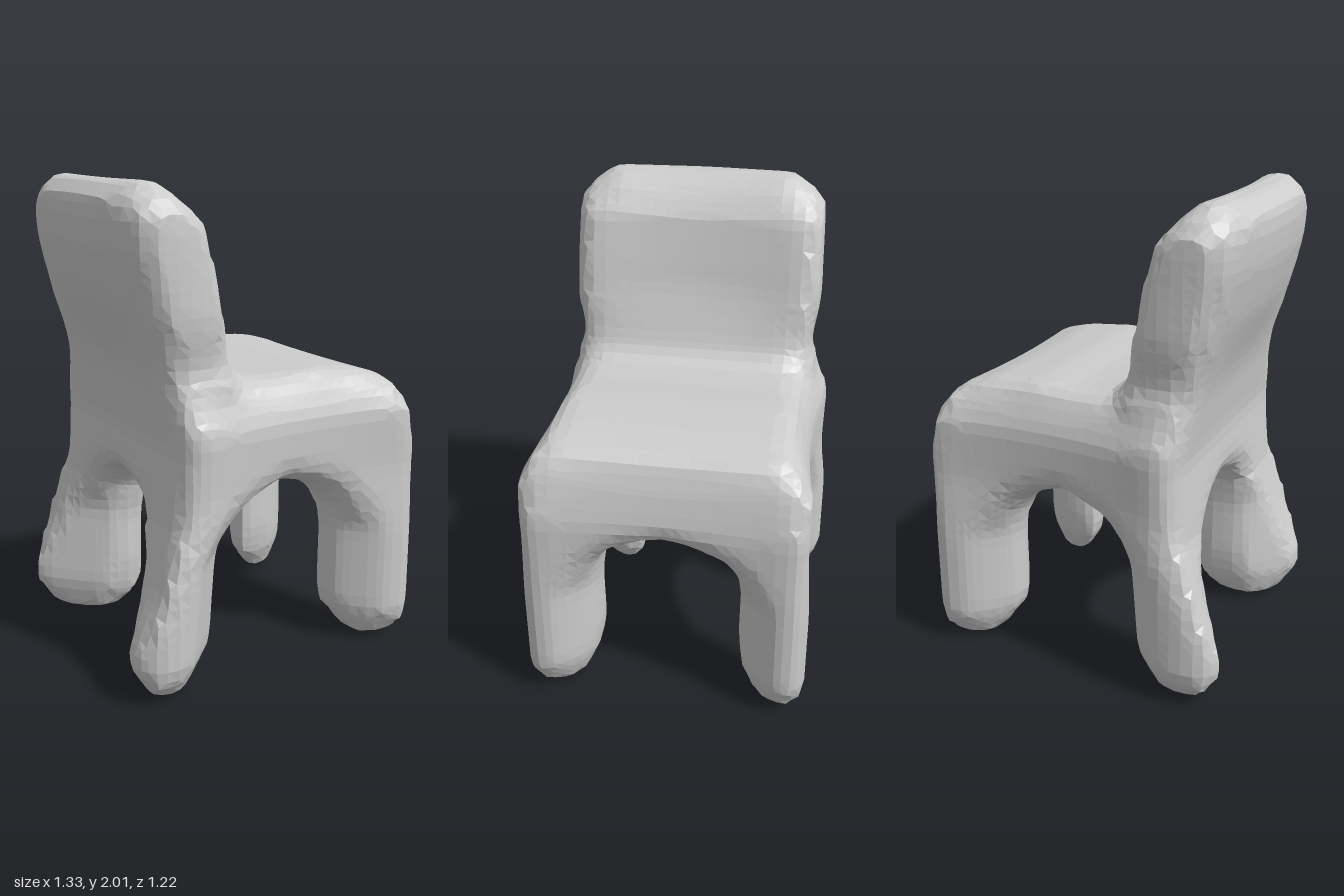
import * as THREE from 'three';

const { smoothstep } = THREE.MathUtils;

// Side outline [x, y]: backrest, seat, front and rear legs with the arch between
const SIDE = [
  [-0.44, -0.02], [-0.29, 0.05], [-0.25, 0.13], [-0.24, 0.5], [-0.21, 0.62], [-0.13, 0.71], [0, 0.76],
  [0.16, 0.76], [0.25, 0.71], [0.31, 0.63], [0.335, 0.52], [0.335, 0.17], [0.41, 0.05], [0.49, -0.02],
  [0.59, -0.02], [0.68, 0.15], [0.68, 0.9], [0.64, 1.06], [0.59, 1.17], [0.42, 1.22], [0.2, 1.24],
  [0, 1.23], [-0.17, 1.24], [-0.21, 1.34], [-0.26, 1.62], [-0.31, 1.84], [-0.4, 1.97], [-0.46, 2.03],
  [-0.55, 2.03], [-0.63, 1.92], [-0.62, 1.75], [-0.55, 1.46], [-0.5, 1.22], [-0.47, 1], [-0.5, 0.68],
  [-0.58, 0.42], [-0.69, 0.17], [-0.61, 0.04], [-0.53, -0.02],
];
// Half of the facing outline [z, y], carried past z = 0
const FACE = [
  [-0.4, 0.76], [0.1, 0.76], [0.19, 0.73], [0.26, 0.65], [0.285, 0.5], [0.28, 0.25], [0.3, 0.12],
  [0.35, 0.02], [0.41, -0.02], [0.51, -0.02], [0.61, 0.12], [0.61, 0.5], [0.59, 0.8], [0.6, 1.06],
  [0.55, 1.17], [0.51, 1.3], [0.54, 1.5], [0.53, 1.88], [0.43, 2.03], [-0.4, 2.03],
];

// Signed distance to a closed outline, negative inside
function outlineDistance(pts, x, y) {
  let best = Infinity, sign = 1;
  for (let i = 0, j = pts.length - 1; i < pts.length; j = i++) {
    const [ax, ay] = pts[i], [bx, by] = pts[j];
    const ex = bx - ax, ey = by - ay, wx = x - ax, wy = y - ay;
    const t = Math.min(1, Math.max(0, (wx * ex + wy * ey) / (ex * ex + ey * ey)));
    best = Math.min(best, Math.hypot(wx - ex * t, wy - ey * t));
    const c = [y >= ay, y < by, ex * wy > ey * wx];
    if (c.every(v => v) || !c.some(v => v)) sign = -sign;
  }
  return sign * best;
}

// Intersection with a rounded edge of width k
function blend(a, b, k) {
  const h = Math.max(k - Math.abs(a - b), 0) / k;
  return Math.max(a, b) + h * h * k / 4;
}

// Soft solid: both outlines crossed, with the legs thinned to diagonal fins
function solid(x, y, z) {
  const az = Math.abs(z), low = 1 - smoothstep(y, 1.15, 1.25);
  // sides and front edge of the seat bow inwards
  const bowZ = 1 + low * 0.09 * Math.max(0, 1 - ((x - 0.12) / 0.5) ** 2);
  const bowX = x > 0 ? 1 + 0.08 * Math.max(0, 1 - (z / 0.6) ** 2) : 1;
  // backrest is dished towards the rear
  const dish = 0.045 * smoothstep(y, 1.25, 1.6) * Math.max(0, 1 - (z / 0.5) ** 2);
  // rear legs reach further inwards than the front ones
  const inset = (0.07 * smoothstep(x, -0.25, 0.33) - 0.035) * (1 - smoothstep(az, 0.34, 0.52));
  const lip = smoothstep(y, 0.55, 0.75);
  const k = 0.04 + 0.08 * lip;
  const body = blend(outlineDistance(SIDE, x * bowX + dish, y),
    outlineDistance(FACE, az * bowZ - inset, y), k);
  if (y > 0.95) return body;
  // legs widen upwards into the rounded lip under the seat
  const offset = x > 0 ? 0.05 : 0.03 + 0.035 * Math.sign(z) - 0.1 * Math.min(y, 0.5);
  const across = Math.abs(Math.abs(x) - az - offset) * Math.SQRT1_2;
  const half = (x > 0 ? 0.11 : 0.13) + 0.55 * (Math.max(0, y - 0.5) / 0.45) ** 2
    - 0.05 * Math.max(0, 1 - y / 0.15);
  const leg = blend(body, across - half, 0.04 + 0.08 * lip);
  // outer leg corners are cut off, fading out at the seat
  const corner = (Math.abs(x) + az - 1.21) * Math.SQRT1_2 - 0.1 * smoothstep(y, 0.65, 0.95);
  return blend(leg, corner, 0.04);
}

// Which part a point of the skin belongs to
function partAt(x, y, z) {
  if (y > 1.22 && x < -0.15) return 'backrest';
  if (y > 0.68) return 'seat';
  return (x > 0 ? 'front' : 'rear') + (z > 0 ? 'Right' : 'Left') + 'Leg';
}

// Skins the solid on a coarse grid and sorts the faces into parts
function skinParts() {
  const step = 0.05, size = [33, 46, 30], origin = [-0.8, -0.115, -0.725];
  const index = (i, j, k) => (i * size[1] + j) * size[2] + k;
  const place = (i, a) => origin[a] + i * step;
  const value = new Float32Array(size[0] * size[1] * size[2]);
  for (let i = 0; i < size[0]; i++)
    for (let j = 0; j < size[1]; j++)
      for (let k = 0; k < size[2]; k++)
        value[index(i, j, k)] = solid(place(i, 0), place(j, 1), place(k, 2));
  const at = c => value[index(c[0], c[1], c[2])];

  // one skin point per crossed cell: the mean of its edge crossings
  const cache = new Map();
  function cellPoint(cell) {
    const key = index(...cell);
    if (cache.has(key)) return cache.get(key);
    const sum = new THREE.Vector3();
    let n = 0;
    for (let a = 0; a < 3; a++)
      for (let m = 0; m < 4; m++) {
        const p = [...cell];
        p[(a + 1) % 3] += m & 1;
        p[(a + 2) % 3] += m >> 1;
        const q = [...p];
        q[a]++;
        const u = at(p), v = at(q);
        if ((u < 0) === (v < 0)) continue;
        const pos = p.map((c, b) => place(c, b));
        pos[a] += step * u / (u - v);
        sum.add(new THREE.Vector3(...pos));
        n++;
      }
    sum.divideScalar(n);
    cache.set(key, sum);
    return sum;
  }

  // one quad around every crossed grid edge, split along its shorter diagonal
  const parts = {};
  for (let i = 1; i < size[0] - 1; i++)
    for (let j = 1; j < size[1] - 1; j++)
      for (let k = 1; k < size[2] - 1; k++)
        for (let a = 0; a < 3; a++) {
          const p = [i, j, k], q = [i, j, k];
          q[a]++;
          if ((at(p) < 0) === (at(q) < 0)) continue;
          const quad = [[0, 0], [1, 0], [1, 1], [0, 1]].map(([b, c]) => {
            const cell = [...p];
            cell[(a + 1) % 3] -= b;
            cell[(a + 2) % 3] -= c;
            return cellPoint(cell);
          });
          if (at(p) >= 0) quad.reverse();
          const [A, B, C, D] = quad;
          const m = A.clone().add(B).add(C).add(D).multiplyScalar(0.25);
          const list = parts[partAt(m.x, m.y, m.z)] ??= [];
          const tris = A.distanceTo(C) < B.distanceTo(D) ? [A, B, C, A, C, D] : [A, B, D, B, C, D];
          for (const v of tris) list.push(v.x, v.y, v.z);
        }
  return parts;
}

export function createModel() {
  const group = new THREE.Group();
  group.name = 'chair';
  const material = new THREE.MeshStandardMaterial({ color: 0xcccccc, flatShading: true });
  for (const [name, positions] of Object.entries(skinParts())) {
    const geometry = new THREE.BufferGeometry();
    geometry.setAttribute('position', new THREE.Float32BufferAttribute(positions, 3));
    geometry.computeVertexNormals();
    const mesh = new THREE.Mesh(geometry, material);
    mesh.name = name;
    group.add(mesh);
  }
  // stand on the floor
  group.position.y = -new THREE.Box3().setFromObject(group).min.y;
  return group;
}
